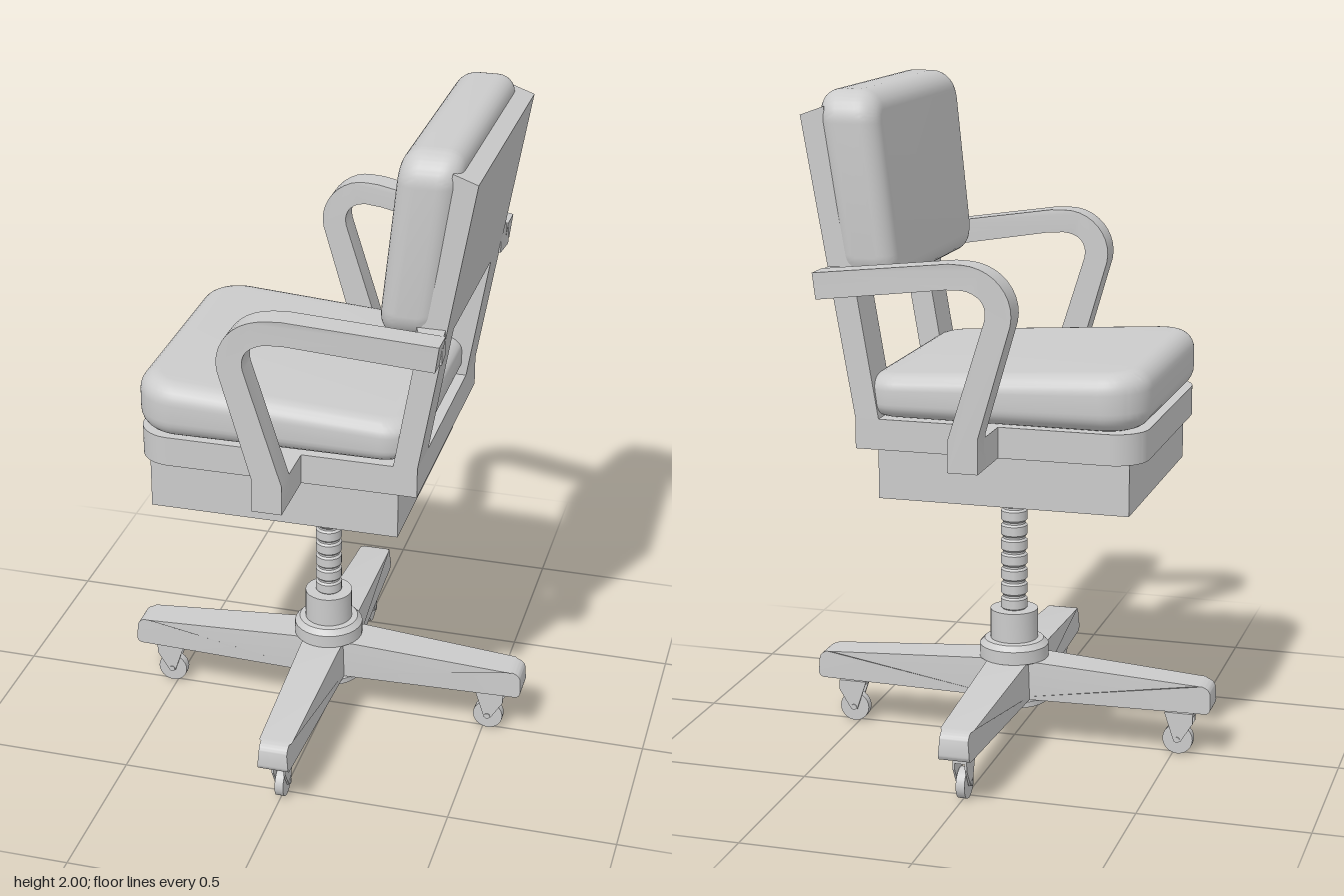
import * as THREE from 'three';
import { toCreasedNormals } from 'three/addons/utils/BufferGeometryUtils.js';

const grey = new THREE.MeshStandardMaterial({ color: 0xcccccc });

function add(parent, name, geometry, x = 0, y = 0, z = 0) {
  const mesh = new THREE.Mesh(geometry, grey);
  mesh.name = name;
  mesh.position.set(x, y, z);
  parent.add(mesh);
  return mesh;
}

// Move every vertex by a rule, then rebuild normals with sharp creases
function reshape(geometry, rule, crease = 0.5) {
  const p = geometry.attributes.position, v = new THREE.Vector3();
  for (let i = 0; i < p.count; i++) {
    rule(v.fromBufferAttribute(p, i));
    p.setXYZ(i, v.x, v.y, v.z);
  }
  return toCreasedNormals(geometry, crease);
}

const polygon = pts => new THREE.Shape(pts.map(([x, y]) => new THREE.Vector2(x, y)));

// Rectangle with radius r0 on its x0 corners and r1 on its x1 corners
function roundedRect(x0, x1, y0, y1, r0, r1) {
  const s = new THREE.Shape();
  s.moveTo(x0 + r0, y0).lineTo(x1 - r1, y0);
  if (r1) s.absarc(x1 - r1, y0 + r1, r1, -Math.PI / 2, 0).lineTo(x1, y1 - r1).absarc(x1 - r1, y1 - r1, r1, 0, Math.PI / 2);
  else s.lineTo(x1, y1);
  s.lineTo(x0 + r0, y1);
  if (r0) s.absarc(x0 + r0, y1 - r0, r0, Math.PI / 2, Math.PI).lineTo(x0, y0 + r0).absarc(x0 + r0, y0 + r0, r0, Math.PI, Math.PI * 1.5);
  s.closePath();
  return s;
}

const extrude = (shape, depth, bevel = 0) => new THREE.ExtrudeGeometry(shape, {
  depth: depth - 2 * bevel, curveSegments: 10, bevelEnabled: bevel > 0,
  bevelSize: bevel, bevelThickness: bevel, bevelOffset: -bevel, bevelSegments: 7,
}).translate(0, 0, bevel);

function buildSeat(body) {
  // Hollow housing under the seat, open at the bottom
  const wall = roundedRect(-0.44, 0.3, -0.36, 0.36, 0, 0);
  wall.holes.push(polygon([[-0.39, -0.31], [-0.39, 0.31], [0.25, 0.31], [0.25, -0.31]]));
  add(body, 'housingWalls', extrude(wall, 0.15).rotateX(-Math.PI / 2), 0, 0.83, 0);
  add(body, 'housingTop', new THREE.BoxGeometry(0.7, 0.04, 0.68), -0.07, 0.955, 0);

  // Seat frame with rounded front corners
  const frame = extrude(roundedRect(-0.48, 0.36, -0.385, 0.385, 0.1, 0), 0.09).rotateX(-Math.PI / 2);
  add(body, 'seatFrame', toCreasedNormals(frame, 0.5), 0, 0.98, 0);

  // Seat cushion, lower and a little narrower at the rear
  const cushion = extrude(roundedRect(-0.485, 0.345, -0.405, 0.405, 0.13, 0.1), 0.175, 0.06).rotateX(-Math.PI / 2);
  add(body, 'seatCushion', reshape(cushion, v => {
    const t = (v.x + 0.485) / 0.83;
    v.y *= 1 - 0.3 * t;
    v.z *= 1 - 0.035 * t;
  }, 0.7), 0, 1.07, 0);
}

function buildBack(body) {
  // Leaning back panel with two uprights
  const panel = polygon([[-0.385, 1.07], [-0.25, 1.07], [-0.25, 1.45], [0.25, 1.45],
    [0.25, 1.07], [0.385, 1.07], [0.385, 1.955], [-0.385, 1.955]]);
  add(body, 'backFrame', reshape(extrude(panel, 0.07).rotateY(Math.PI / 2), v => {
    const depth = v.x;
    v.x += 0.29 + (v.y - 1.07) * 0.17;
    if (v.y > 1.9) v.y -= depth * 0.36;
  }));

  // Back cushion, leaning and slightly thicker at the top
  const pad = extrude(roundedRect(-0.405, 0.405, 1.45, 2, 0.09, 0.09), 0.165, 0.055).rotateY(Math.PI / 2);
  add(body, 'backCushion', reshape(pad, v => {
    const h = v.y - 1.45;
    v.x = 0.232 + v.x * (1 + 0.12 * h) + h * 0.11;
    v.z *= 0.965 + 0.064 * h;
  }, 0.7));
}

// One armrest on the +z side; the top rail runs inward towards the back
function buildArm() {
  const arm = new THREE.Group();
  const s = new THREE.Shape();
  s.moveTo(-0.065, 0.98).lineTo(-0.065, 1.08).lineTo(-0.158, 1.4);
  s.bezierCurveTo(-0.175, 1.48, -0.11, 1.56, -0.02, 1.56);
  s.lineTo(0.02, 1.56).lineTo(0.44, 1.505).lineTo(0.43, 1.43).lineTo(0.03, 1.488).lineTo(-0.02, 1.49);
  s.bezierCurveTo(-0.07, 1.485, -0.095, 1.455, -0.085, 1.41);
  s.lineTo(0.022, 1.07).lineTo(0.022, 0.98).closePath();
  add(arm, 'armLoop', reshape(extrude(s, 0.077), v => {
    v.z += 0.506;
    if (v.y > 1.2) v.z -= Math.max(0, v.x + 0.06) * 0.165;
  }));
  add(arm, 'armFoot', new THREE.BoxGeometry(0.087, 0.09, 0.15), -0.0215, 1.025, 0.445);
  // Wedge that hooks the rail round to the upright
  const hook = polygon([[0.345, -0.37], [0.43, -0.37], [0.437, -0.45], [0.37, -0.44]]);
  add(arm, 'armHook', extrude(hook, 0.075).rotateX(-Math.PI / 2), 0, 1.43, 0);
  return arm;
}

function buildColumn(base) {
  const pts = [[0, 0.4], [0.034, 0.4]];
  for (let y = 0.41; y < 0.92; y += 0.046) {
    pts.push([0.034, y], [0.04, y + 0.006], [0.04, y + 0.034], [0.034, y + 0.04]);
  }
  pts.push([0, 0.95]);
  const lathe = list => toCreasedNormals(new THREE.LatheGeometry(list.map(([x, y]) => new THREE.Vector2(x, y)), 28), 0.5);
  add(base, 'threadedColumn', lathe(pts));
  add(base, 'hub', lathe([[0, 0.125], [0.105, 0.125], [0.105, 0.142], [0.08, 0.142], [0.08, 0.25], [0.105, 0.262],
    [0.105, 0.302], [0.09, 0.318], [0.072, 0.32], [0.072, 0.412], [0, 0.412]]));
}

// One leg along +x with its caster
function buildLeg() {
  const leg = new THREE.Group();
  const s = new THREE.Shape();
  s.moveTo(0, 0.145).lineTo(0.6, 0.145).quadraticCurveTo(0.62, 0.145, 0.62, 0.165).lineTo(0.618, 0.205);
  s.quadraticCurveTo(0.615, 0.228, 0.58, 0.232).lineTo(0.1, 0.262).lineTo(0, 0.265).closePath();
  add(leg, 'legBeam', reshape(extrude(s, 0.14).translate(0, 0, -0.07), v => {
    v.z *= 1 - 0.25 * v.x / 0.62;
    if (v.y > 0.2) v.z *= 0.92;
    if (v.x > 0.59) v.z *= 0.88;
  }));

  // Caster: stem, forked bracket and wheel trailing inward
  add(leg, 'casterStem', new THREE.CylinderGeometry(0.012, 0.012, 0.04, 12), 0.535, 0.135, 0);
  add(leg, 'casterPlate', new THREE.BoxGeometry(0.085, 0.012, 0.042), 0.52, 0.125, 0);
  const fork = polygon([[0.475, 0.13], [0.505, 0.04], [0.525, 0.04], [0.562, 0.1], [0.562, 0.13]]);
  for (const side of [-1, 1]) add(leg, 'casterFork', extrude(fork, 0.006), 0, 0, side * 0.018 - 0.003);
  add(leg, 'casterWheel', new THREE.CylinderGeometry(0.046, 0.046, 0.026, 24).rotateX(Math.PI / 2), 0.515, 0.046, 0);
  add(leg, 'casterAxle', new THREE.CylinderGeometry(0.009, 0.009, 0.048, 12).rotateX(Math.PI / 2), 0.515, 0.046, 0);
  return leg;
}

export function createModel() {
  const model = new THREE.Group();
  model.name = 'swivelArmchair';

  const body = new THREE.Group();
  body.name = 'upperBody';
  body.position.z = -0.012;
  buildSeat(body);
  buildBack(body);
  model.add(body);

  // The second armrest is a mirror of the first
  for (const side of [1, -1]) {
    const arm = buildArm();
    arm.name = side > 0 ? 'leftArmrest' : 'rightArmrest';
    arm.scale.z = side;
    body.add(arm);
  }

  const base = new THREE.Group();
  base.name = 'base';
  base.position.z = -0.004;
  buildColumn(base);
  for (let i = 0; i < 4; i++) {
    const leg = buildLeg();
    leg.name = 'leg';
    leg.rotation.y = i * Math.PI / 2;
    base.add(leg);
  }
  model.add(base);
  return model;
}
